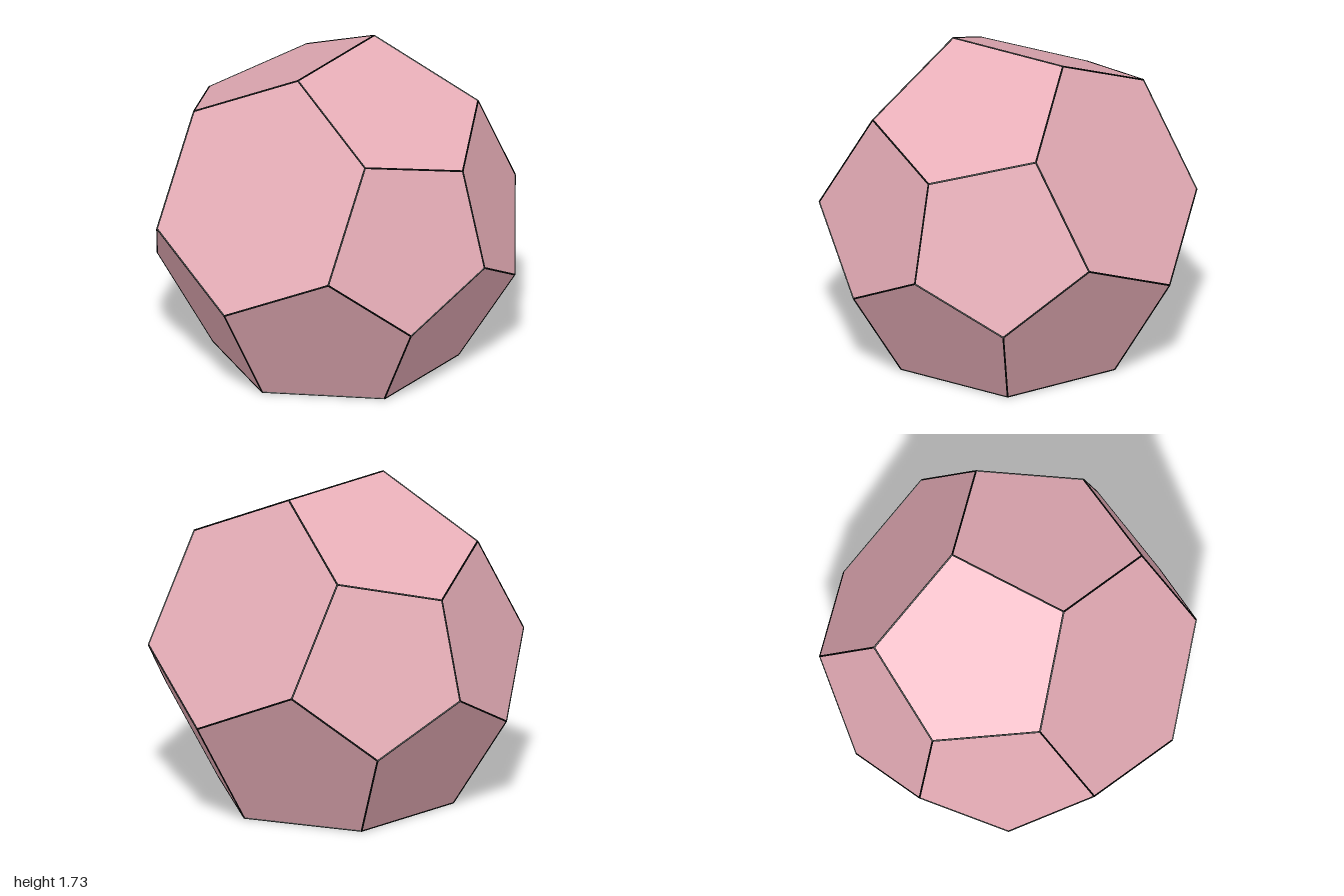
import * as THREE from 'three';

const pink = new THREE.MeshStandardMaterial({ color: 0xffc0cb });
pink.name = 'pink';
const black = new THREE.MeshStandardMaterial({ color: 0x000000 });
black.name = 'black';

const C = Math.sqrt(3) / 2;
const EDGE = 0.657;                  // hexagon side length
const DIST = 0.77;                   // hexagon distance from the centre
const STRUT = 0.005;                 // edge strut radius
const H = EDGE * C;                  // hexagon half width
const SIDE = 0.843;                  // x of the corners around each pole
const RIDGE = DIST / 2 + EDGE * C;   // ridge distance from the axis
const Q = RIDGE - SIDE / 2;          // pole-ring corner distance from the axis
const POLE = SIDE + (Q / 2) * (SIDE - H) / (DIST - Q / 2);

// Point from x, outward distance and sideways offset in one of three sectors
function point(x, out, tan, k) {
  const a = k * Math.PI * 2 / 3;
  return new THREE.Vector3(
    x,
    -out * Math.cos(a) + tan * Math.sin(a),
    out * Math.sin(a) + tan * Math.cos(a)
  );
}

// Outlines of the 3 hexagons and 12 pentagons, threefold about x
function outlines() {
  const faces = [];
  const a = DIST * C - EDGE / 2, b = DIST * C - EDGE / 4;
  const r1 = DIST / 2 + EDGE * C / 2;
  for (let k = 0; k < 3; k++) {
    const add = (name, list) =>
      faces.push({ name, pts: list.map(([x, o, t]) => point(x, o, t, k)) });
    add('hexagonFace', [
      [0, DIST, EDGE], [H, DIST, EDGE / 2], [H, DIST, -EDGE / 2],
      [0, DIST, -EDGE], [-H, DIST, -EDGE / 2], [-H, DIST, EDGE / 2],
    ]);
    for (const m of [1, -1]) {
      add('polePentagonFace', [
        [m * POLE, 0, 0], [m * SIDE, Q / 2, Q * C], [m * H, DIST, EDGE / 2],
        [m * H, DIST, -EDGE / 2], [m * SIDE, Q / 2, -Q * C],
      ]);
      add('ridgePentagonFace', [
        [0, -RIDGE, a], [m * H, -r1, b], [m * SIDE, -Q, 0],
        [m * H, -r1, -b], [0, -RIDGE, -a],
      ]);
    }
  }
  return faces;
}

// Flat polygon facing away from the centre
function polygon(pts) {
  const normal = pts[1].clone().sub(pts[0]).cross(pts[2].clone().sub(pts[0]));
  const p = normal.dot(pts[0]) < 0 ? [...pts].reverse() : pts;
  const tris = [];
  for (let i = 1; i < p.length - 1; i++) tris.push(p[0], p[i], p[i + 1]);
  const geo = new THREE.BufferGeometry().setFromPoints(tris);
  geo.computeVertexNormals();
  return geo;
}

// Thin rod between two corners
function strut(a, b) {
  const dir = b.clone().sub(a);
  const mesh = new THREE.Mesh(
    new THREE.CylinderGeometry(STRUT, STRUT, dir.length(), 8), black);
  mesh.position.copy(a).add(b).multiplyScalar(0.5);
  mesh.quaternion.setFromUnitVectors(new THREE.Vector3(0, 1, 0), dir.normalize());
  mesh.name = 'edgeStrut';
  return mesh;
}

export function createModel() {
  const model = new THREE.Group();
  model.name = 'polyhedron';
  const faces = new THREE.Group();
  faces.name = 'faces';
  const edges = new THREE.Group();
  edges.name = 'edges';
  model.add(faces, edges);

  const seen = new Set();
  const key = (v) => v.toArray().map((n) => Math.round(n * 100)).join();
  for (const { name, pts } of outlines()) {
    const mesh = new THREE.Mesh(polygon(pts), pink);
    mesh.name = name;
    faces.add(mesh);
    // Each shared edge gets one strut, sunk slightly into the surface
    pts.forEach((p, i) => {
      const q = pts[(i + 1) % pts.length];
      const mid = key(p.clone().add(q));
      if (seen.has(mid)) return;
      seen.add(mid);
      edges.add(strut(p.clone().multiplyScalar(0.999), q.clone().multiplyScalar(0.999)));
    });
  }

  model.position.y = DIST + STRUT;
  return model;
}
